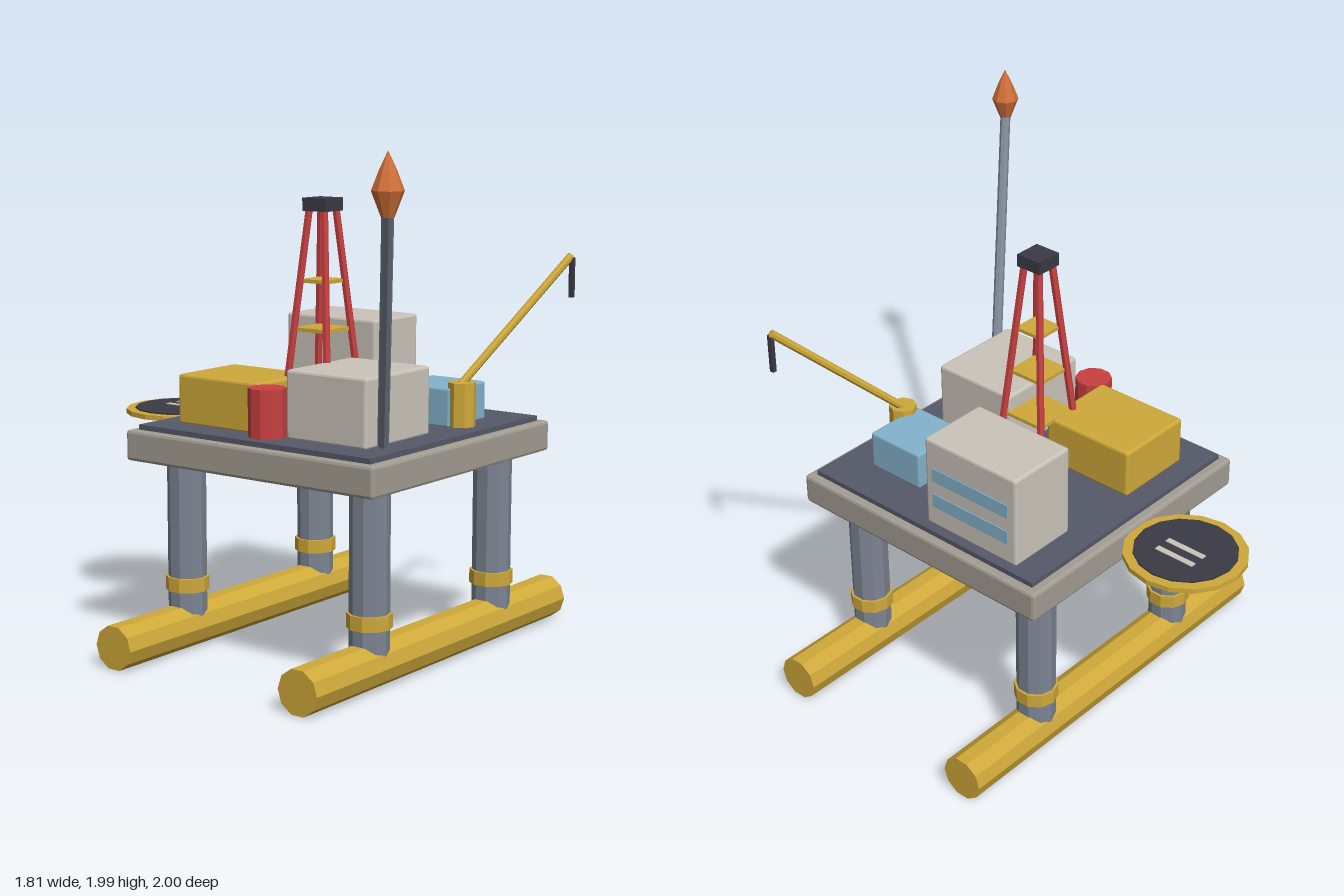
import * as THREE from 'three';
import { RoundedBoxGeometry } from 'three/addons/geometries/RoundedBoxGeometry.js';

const paint = (name, color) => {
  const m = new THREE.MeshStandardMaterial({ color });
  m.name = name;
  return m;
};

export function createModel() {
  const yellow = paint('safety yellow', 0xcfa93a);
  const cream = paint('cabin cream', 0xcac4ba);
  const blue = paint('glass blue', 0x84b2cd);
  const steel = paint('leg steel', 0x7c8592);
  const red = paint('derrick red', 0xc84040);
  const dark = paint('dark charcoal', 0x3a3a45);
  const orange = paint('flame orange', 0xd2703a);
  const concrete = paint('hull grey', 0xa39d92);
  const plating = paint('deck plating', 0x555969);

  const model = new THREE.Group();
  model.name = 'offshorePlatform';

  // Faceted mesh: every face gets its own normal
  const add = (name, geometry, material, x = 0, y = 0, z = 0) => {
    const flat = geometry.index ? geometry.toNonIndexed() : geometry;
    flat.computeVertexNormals();
    const mesh = new THREE.Mesh(flat, material);
    mesh.name = name;
    mesh.position.set(x, y, z);
    model.add(mesh);
    return mesh;
  };

  // Box given by its low and high limits on each axis, optionally bevelled
  const box = (name, material, [x0, x1], [y0, y1], [z0, z1], bevel = 0) => {
    const size = [x1 - x0, y1 - y0, z1 - z0];
    const geometry = bevel
      ? new RoundedBoxGeometry(...size, 1, bevel)
      : new THREE.BoxGeometry(...size);
    return add(name, geometry, material, (x0 + x1) / 2, (y0 + y1) / 2, (z0 + z1) / 2);
  };

  // Upright prism standing between two heights
  const post = (name, material, x, z, r, y0, y1, sides) =>
    add(name, new THREE.CylinderGeometry(r, r, y1 - y0, sides), material, x, (y0 + y1) / 2, z);

  // Straight bar between two points
  const bar = (name, material, from, to, r, sides = 8) => {
    const a = new THREE.Vector3(...from);
    const b = new THREE.Vector3(...to);
    const mesh = add(name, new THREE.CylinderGeometry(r, r, a.distanceTo(b), sides), material);
    mesh.position.copy(a).add(b).multiplyScalar(0.5);
    mesh.quaternion.setFromUnitVectors(new THREE.Vector3(0, 1, 0), b.sub(a).normalize());
    return mesh;
  };

  // Pontoons, with two collared legs on each
  for (const z of [0.495, -0.39]) {
    const pontoon = add('pontoon', new THREE.CylinderGeometry(0.088, 0.088, 1.66, 10), yellow, 0.07, 0.0837, z);
    pontoon.rotation.z = Math.PI / 2;
    for (const x of [-0.335, 0.478]) {
      post('leg', steel, x, z, 0.076, 0.13, 0.76, 10);
      post('legCollar', yellow, x, z, 0.086, 0.228, 0.283, 10);
    }
  }

  // Deck
  box('hullDeck', concrete, [-0.517, 0.66], [0.75, 0.87], [-0.538, 0.64], 0.012);
  box('deckPlating', plating, [-0.483, 0.625], [0.86, 0.89], [-0.5, 0.605]);

  // Modules on deck
  box('workshopModule', cream, [-0.355, 0.047], [0.885, 1.147], [0.123, 0.49], 0.01);
  box('engineModule', yellow, [-0.355, -0.022], [0.885, 1.08], [-0.41, -0.01], 0.01);
  box('quartersBlock', cream, [0.293, 0.587], [0.885, 1.257], [-0.39, 0.052], 0.01);
  box('controlModule', blue, [0.203, 0.455], [0.885, 1.037], [0.22, 0.472], 0.008);
  for (const y of [0.97, 1.083])
    box('windowStrip', blue, [0.584, 0.591], [y, y + 0.057], [-0.352, 0.018]);
  post('storageTank', red, -0.375, 0.05, 0.073, 0.885, 1.075, 10);

  // Derrick: four leaning legs, three platforms and a crown
  const cx = -0.04, cz = 0.05;
  for (const sx of [-1, 1])
    for (const sz of [-1, 1])
      bar('derrickLeg', red,
        [cx + sx * 0.112, 0.885, cz + sz * 0.112],
        [cx + sx * 0.036, 1.72, cz + sz * 0.036], 0.015, 6);
  for (const [y, half] of [[1.075, 0.094], [1.26, 0.077], [1.445, 0.06]])
    box('derrickPlatform', yellow, [cx - half, cx + half], [y - 0.007, y + 0.007], [cz - half, cz + half]);
  box('derrickCrown', dark, [cx - 0.055, cx + 0.055], [1.71, 1.76], [cz - 0.055, cz + 0.055]);

  // Crane
  post('cranePedestal', yellow, 0.255, 0.495, 0.055, 0.885, 1.06, 8);
  bar('craneBoom', yellow, [0.255, 1.05, 0.49], [0.735, 1.518, 0.68], 0.016);
  box('craneHoist', dark, [0.726, 0.744], [1.355, 1.51], [0.676, 0.694]);

  // Flare boom and flame
  bar('flareBoom', steel, [-0.41, 0.93, 0.607], [-0.855, 1.785, 0.943], 0.021);
  const flame = [[0, 1.772], [0.022, 1.775], [0.055, 1.86], [0.03, 1.925], [0, 1.988]];
  add('flareFlame', new THREE.LatheGeometry(flame.map(p => new THREE.Vector2(...p)), 8), orange, -0.855, 0, 0.943);

  // Landing pad, its bracket and touchdown bars
  post('landingPadRim', yellow, 0.07, -0.765, 0.235, 0.835, 0.855, 16);
  post('landingPadSurface', dark, 0.07, -0.765, 0.197, 0.85, 0.861, 16);
  for (const x of [0.055, 0.118])
    box('touchdownBar', cream, [x, x + 0.024], [0.86, 0.864], [-0.847, -0.677]);
  box('landingPadBracket', steel, [0.035, 0.105], [0.67, 0.836], [-0.715, -0.645]);

  return model;
}
